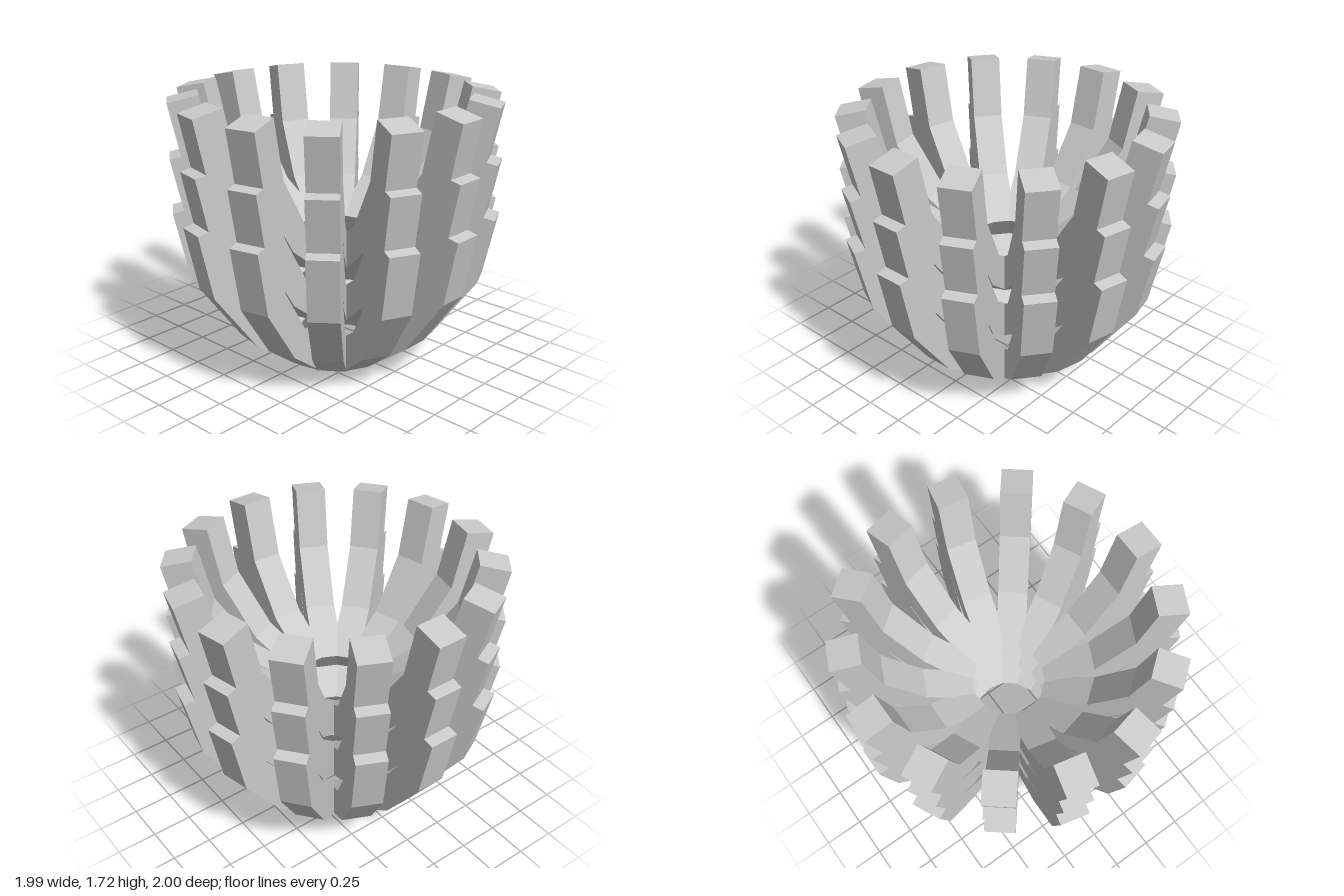
import * as THREE from 'three';

const FIN_COUNT = 14;
const TIER_COUNT = 3;
const TIER_STEP = 0.336;
const FIN_WIDTH = 0.184;

// Curved fin section as [radius, height]: up the outside, down the inside
const PROFILE = [
  [0.335, 0], [0.645, 0.23], [0.915, 0.605], [1, 1.006],
  [0.817, 1.046], [0.735, 0.68], [0.515, 0.355], [0.22, 0.16],
];

function finGeometry() {
  const shape = new THREE.Shape(PROFILE.map(([r, y]) => new THREE.Vector2(r, y)));
  const geometry = new THREE.ExtrudeGeometry(shape, { depth: FIN_WIDTH, bevelEnabled: false });
  geometry.translate(0, 0, -FIN_WIDTH / 2);
  geometry.rotateY(-Math.PI / 2); // radius points to +z
  return geometry;
}

export function createModel() {
  const model = new THREE.Group();
  model.name = 'finnedBowl';
  const material = new THREE.MeshStandardMaterial({ color: 0xcccccc, flatShading: true });
  const geometry = finGeometry();

  // Three identical rings of fins, nested one above the other
  for (let t = 0; t < TIER_COUNT; t++) {
    const tier = new THREE.Group();
    tier.name = `tier${t + 1}`;
    tier.position.y = t * TIER_STEP;
    for (let i = 0; i < FIN_COUNT; i++) {
      const fin = new THREE.Mesh(geometry, material);
      fin.name = `fin${i + 1}`;
      fin.rotation.y = (i / FIN_COUNT) * Math.PI * 2;
      tier.add(fin);
    }
    model.add(tier);
  }
  return model;
}
